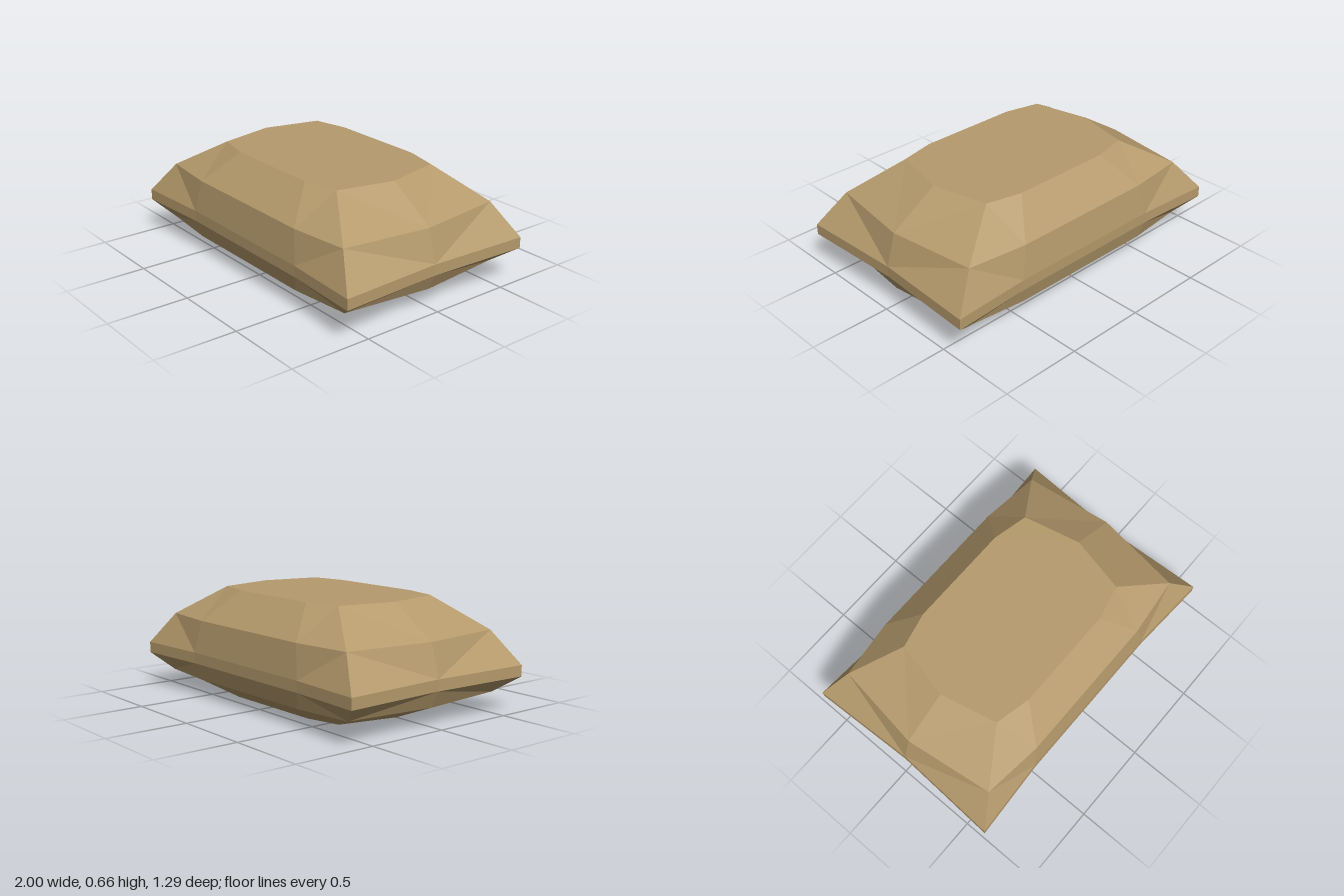
import * as THREE from 'three';

// Levels from bottom to top: height, side midpoint x, corner x/z, front-edge x/z
const LEVELS = [
  [0.0, 0.64, 0.56, 0.36, 0.34, 0.41],
  [0.11, 0.92, 0.86, 0.55, 0.48, 0.59],
  [0.21, 0.97, 1.0, 0.645, 0.51, 0.617],
  [0.277, 0.97, 1.0, 0.645, 0.51, 0.617],
  [0.475, 0.913, 0.84, 0.545, 0.47, 0.587],
  [0.662, 0.62, 0.54, 0.35, 0.32, 0.4],
];
const N = 10;
const CORNERS = [1, 4, 6, 9];

// Ten-point outline, mirrored from one quarter
function outline([y, sx, cx, cz, fx, fz]) {
  return [
    [sx, 0], [cx, cz], [fx, fz], [-fx, fz], [-cx, cz],
    [-sx, 0], [-cx, -cz], [-fx, -fz], [fx, -fz], [cx, -cz],
  ].flatMap(([x, z]) => [x, y, z]);
}

function cushionGeometry() {
  const index = [];
  for (let k = 0; k < LEVELS.length - 1; k++) {
    const lowerWide = LEVELS[k][1] >= LEVELS[k + 1][1];
    for (let i = 0; i < N; i++) {
      const j = (i + 1) % N;
      const a = k * N + i, b = k * N + j, c = a + N, d = b + N;
      // Creases run from the wide level's edges to the narrow level's corners
      if (CORNERS.includes(j) === lowerWide) index.push(a, c, d, a, d, b);
      else index.push(a, c, b, b, c, d);
    }
  }
  // Flat top and bottom
  const top = (LEVELS.length - 1) * N;
  for (let i = 1; i < N - 1; i++) {
    index.push(0, i, i + 1);
    index.push(top, top + i + 1, top + i);
  }
  const indexed = new THREE.BufferGeometry();
  indexed.setAttribute('position', new THREE.Float32BufferAttribute(LEVELS.flatMap(outline), 3));
  indexed.setIndex(index);
  const geometry = indexed.toNonIndexed();
  geometry.computeVertexNormals();
  return geometry;
}

export function createModel() {
  const fabric = new THREE.MeshStandardMaterial({ color: 0xb59a6c });
  fabric.name = 'tan fabric';
  fabric.flatShading = true;

  const cushion = new THREE.Mesh(cushionGeometry(), fabric);
  cushion.name = 'cushion';

  const model = new THREE.Group();
  model.name = 'pillow';
  model.add(cushion);
  return model;
}
